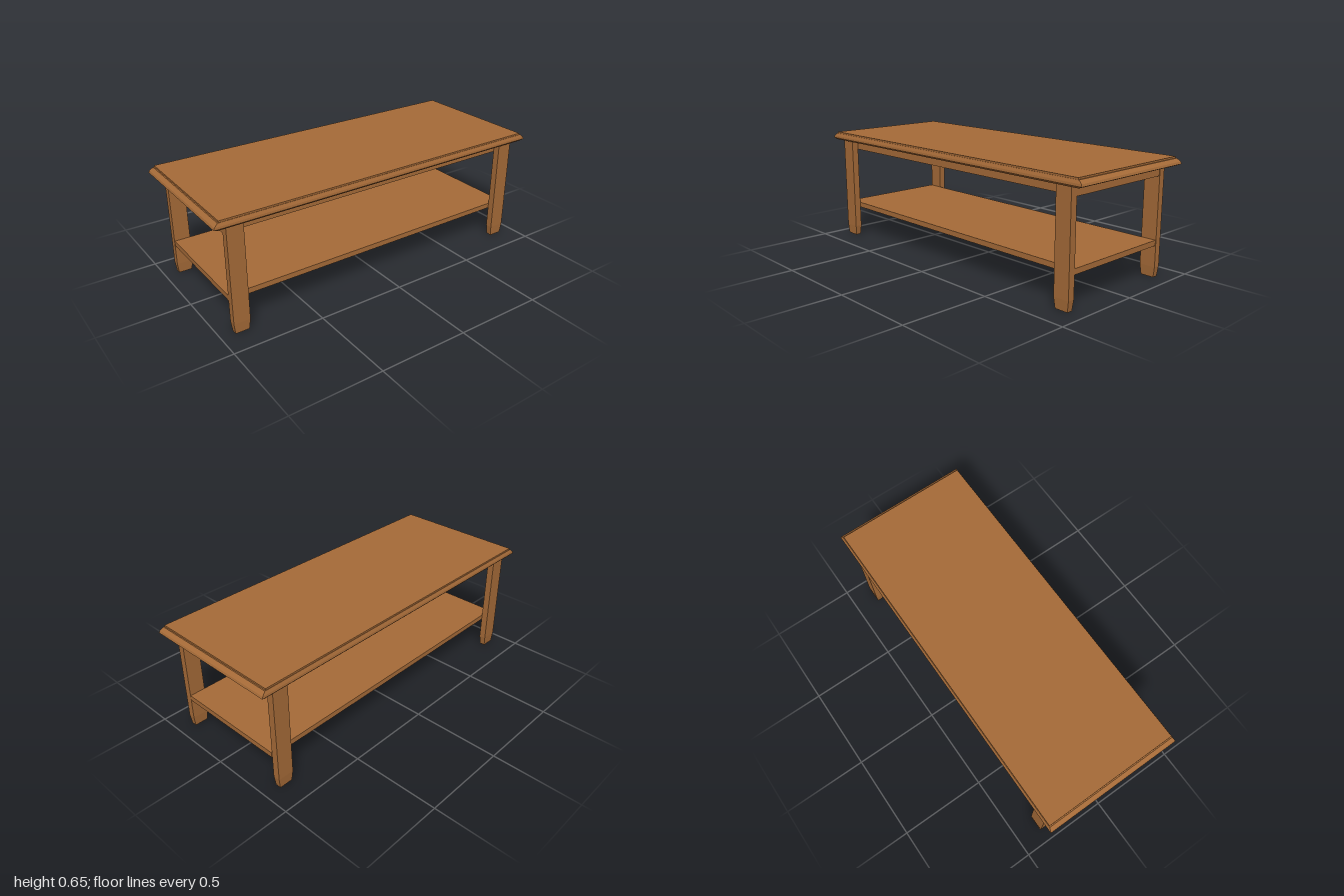
import * as THREE from 'three';

const wood = new THREE.MeshStandardMaterial({ color: 0xa66b38 });
wood.name = 'warmWood';

// Solid of stacked rectangles, given bottom to top as [halfX, halfZ, y]
function loftRectangles(sections) {
  const rings = sections.map(([hx, hz, y]) =>
    [[-hx, y, hz], [hx, y, hz], [hx, y, -hz], [-hx, y, -hz]]);
  const positions = [];
  const quad = (a, b, c, d) => positions.push(...a, ...b, ...c, ...a, ...c, ...d);
  for (let i = 0; i < rings.length - 1; i++) {
    const lower = rings[i], upper = rings[i + 1];
    for (let k = 0; k < 4; k++) {
      const n = (k + 1) % 4;
      quad(lower[k], lower[n], upper[n], upper[k]);
    }
  }
  const bottom = rings[0], top = rings[rings.length - 1];
  quad(bottom[3], bottom[2], bottom[1], bottom[0]);
  quad(top[0], top[1], top[2], top[3]);
  const geometry = new THREE.BufferGeometry();
  geometry.setAttribute('position', new THREE.Float32BufferAttribute(positions, 3));
  geometry.computeVertexNormals();
  return geometry;
}

export function createModel() {
  const table = new THREE.Group();
  table.name = 'coffeeTable';

  const add = (name, geometry, x = 0, y = 0, z = 0) => {
    const mesh = new THREE.Mesh(geometry, wood);
    mesh.name = name;
    mesh.position.set(x, y, z);
    table.add(mesh);
  };

  // Table top with a moulded edge: [inset fraction, height]
  const edgeProfile = [[0.8, 0.603], [0, 0.613], [0.15, 0.625], [0.8, 0.641], [1, 0.641], [1, 0.65]];
  add('tableTop', loftRectangles(edgeProfile.map(([f, y]) => [1 - 0.03 * f, 0.396 - 0.011 * f, y])));

  // Solid apron slab and lower shelf, held between the front and back legs
  add('apron', new THREE.BoxGeometry(1.848, 0.051, 0.653), -0.005, 0.5745, 0.0025);
  add('shelf', new THREE.BoxGeometry(1.848, 0.03, 0.653), -0.005, 0.193, 0.0025);

  // Flat legs with tapered feet
  const leg = loftRectangles([[0.038, 0.016, 0], [0.0455, 0.0195, 0.058], [0.0455, 0.0195, 0.599]]);
  for (const [side, x] of [['Left', 0.874], ['Right', -0.884]]) {
    add(`front${side}Leg`, leg, x, 0, 0.348);
    add(`back${side}Leg`, leg, x, 0, -0.348);
  }

  return table;
}
